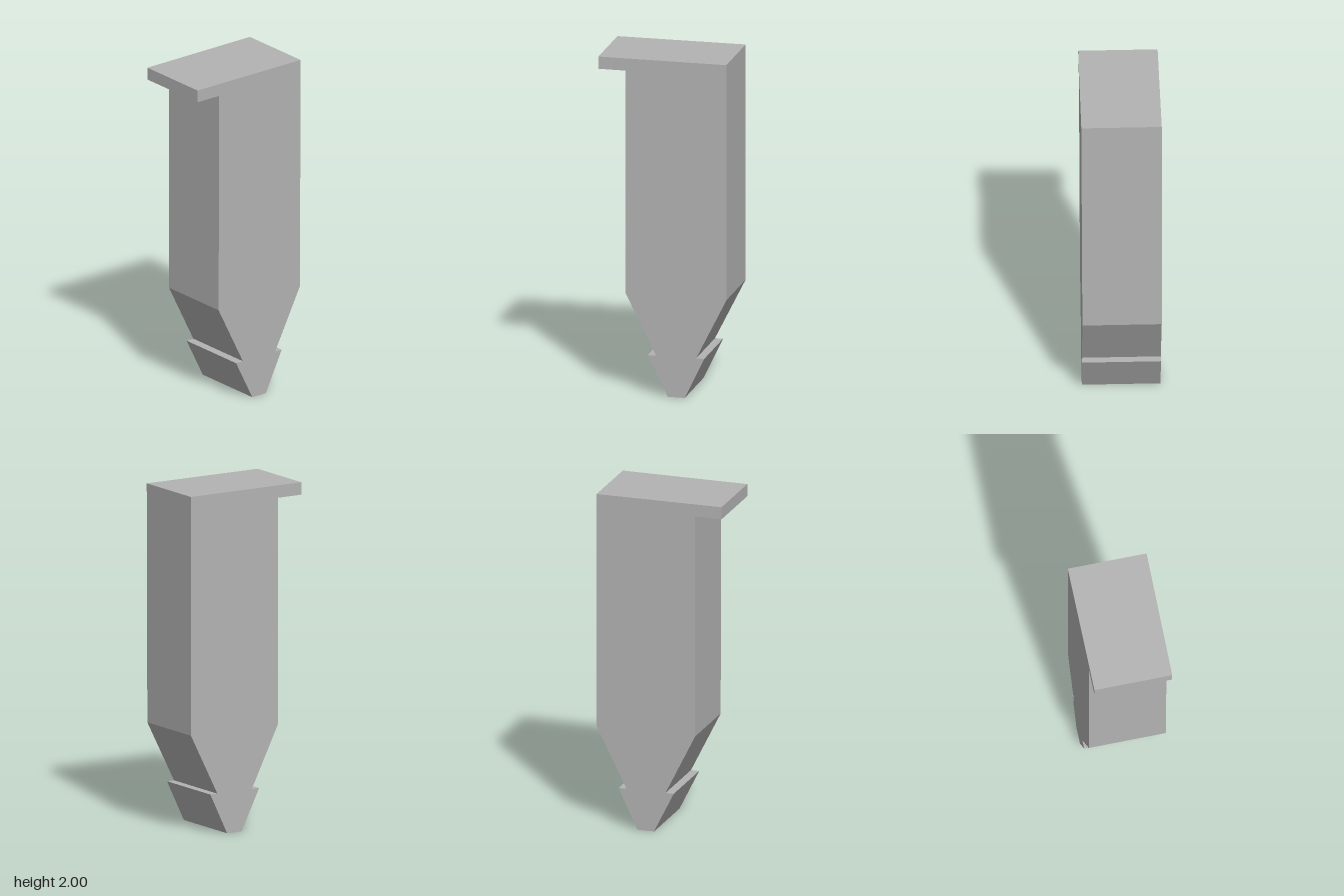
import * as THREE from 'three';

export function createModel() {
  const group = new THREE.Group();
  const grey = new THREE.MeshStandardMaterial({ color: 0xb3b3b3 });
  grey.name = 'plain grey';

  // Side outline: top lip, straight shank, tapered neck and barbed tip
  const outline = [
    [-0.38, 2], [-0.38, 1.927], [-0.22, 1.927], [-0.22, 0.6],
    [-0.04, 0.24], [-0.09, 0.24], [0.03, 0], [0.13, 0],
    [0.245, 0.24], [0.197, 0.24], [0.378, 0.6], [0.378, 2],
  ].map(([x, y]) => new THREE.Vector2(x, y));
  const depth = 0.462;
  const geometry = new THREE.ExtrudeGeometry(new THREE.Shape(outline), { depth, bevelEnabled: false });
  geometry.translate(0, 0, -depth / 2);

  // The front face leans back very slightly towards the tip and the lip
  const p = geometry.attributes.position;
  for (let i = 0; i < p.count; i++) {
    if (p.getZ(i) > 0) {
      p.setZ(i, 0.231 - 0.008 * (0.38 - p.getX(i)) - 0.0045 * (2 - p.getY(i)));
    }
  }
  geometry.computeVertexNormals();

  const clip = new THREE.Mesh(geometry, grey);
  clip.name = 'barbedClip';
  group.add(clip);
  return group;
}
